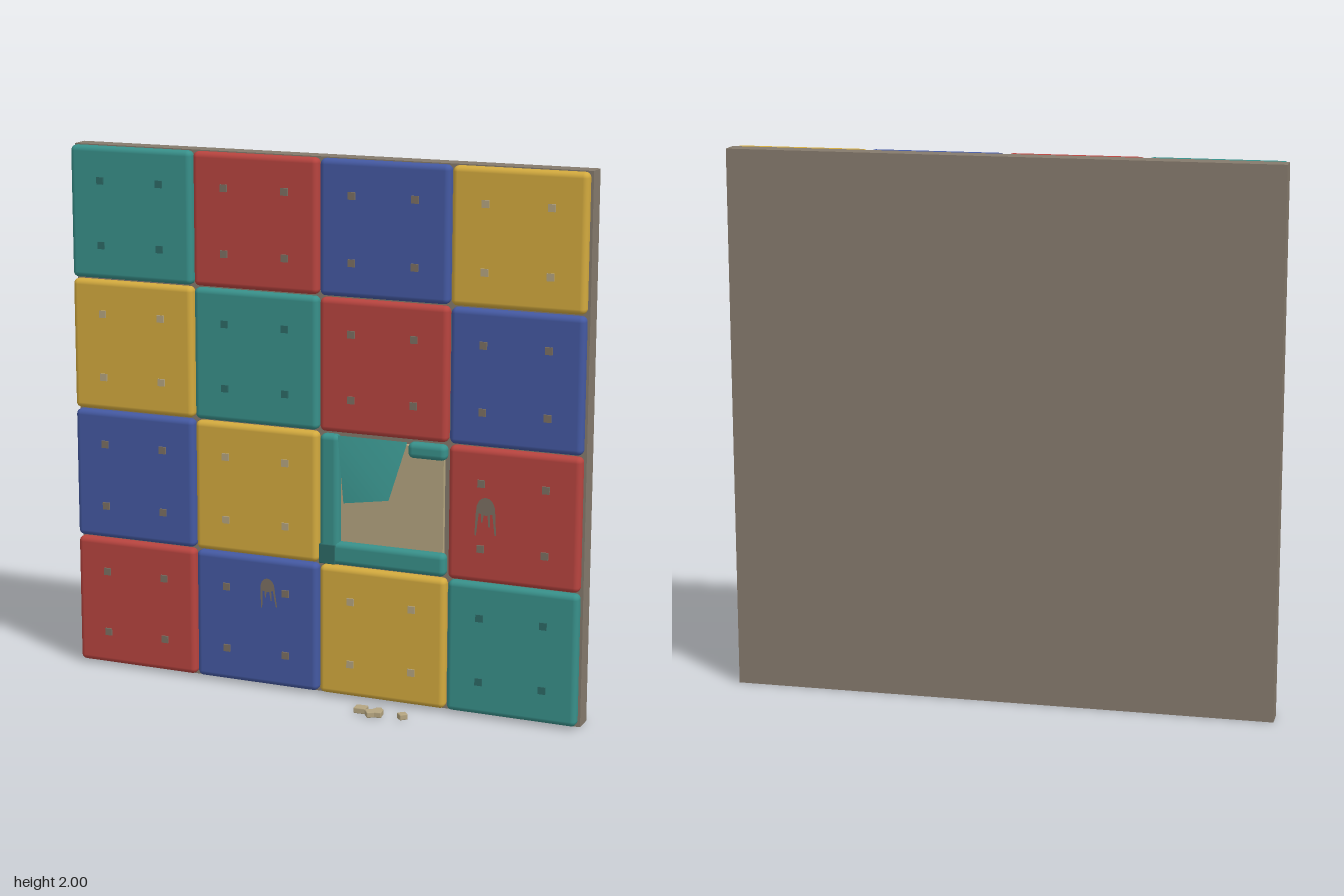
import * as THREE from 'three';
import { RoundedBoxGeometry } from 'three/addons/geometries/RoundedBoxGeometry.js';

const mat = (name, color, side = THREE.FrontSide) => {
  const m = new THREE.MeshStandardMaterial({ color, side });
  m.name = name;
  return m;
};

export function createModel() {
  const root = new THREE.Group();
  root.name = 'paddedWall';

  const teal = mat('teal vinyl', 0x38908a, THREE.DoubleSide);
  const red = mat('red vinyl', 0xb8443f);
  const blue = mat('blue vinyl', 0x4459a2);
  const yellow = mat('yellow vinyl', 0xd3aa3e);
  const backing = mat('backing board', 0x857a6c);
  const foam = mat('foam', 0xb5a580);
  const darkTeal = mat('dark teal', 0x2c6a66);
  const grime = mat('grime', 0x7b6f62, THREE.DoubleSide);

  const add = (name, geometry, material, x, y, z, parent = root) => {
    const mesh = new THREE.Mesh(geometry, material);
    mesh.name = name;
    mesh.position.set(x, y, z);
    parent.add(mesh);
    return mesh;
  };
  const pad = (w, h, r = 0.02) => new RoundedBoxGeometry(w, h, 0.05, 3, r);

  // Backing board
  add('backingBoard', new THREE.BoxGeometry(2, 2, 0.075), backing, 0, 1, -0.1095);

  // Four by four cushions, colours shifting one column per row
  const colours = [teal, red, blue, yellow];
  const studColours = [darkTeal, grime, grime, foam];
  const tile = pad(0.492, 0.492);
  const stud = new THREE.BoxGeometry(0.027, 0.027, 0.012);
  for (let row = 0; row < 4; row++) {
    for (let col = 0; col < 4; col++) {
      if (row === 2 && col === 2) continue; // torn cushion
      const k = (col - row + 4) % 4;
      const cushion = new THREE.Group();
      cushion.name = 'cushion';
      cushion.position.set(-0.75 + col * 0.5, 1.753 - row * 0.4985, -0.046);
      add('pad', tile, colours[k], 0, 0, 0, cushion);
      for (const sx of [-1, 1])
        for (const sy of [-1, 1])
          add('stud', stud, studColours[k], sx * 0.12, sy * 0.12, 0.025, cushion);
      root.add(cushion);
    }
  }

  // Torn cushion: exposed foam with remaining vinyl edges
  const torn = new THREE.Group();
  torn.name = 'tornCushion';
  root.add(torn);
  add('exposedFoam', new THREE.BoxGeometry(0.44, 0.46, 0.02), foam, 0.255, 0.75, -0.064, torn);
  add('leftEdge', pad(0.074, 0.49), teal, 0.041, 0.753, -0.046, torn);
  add('bottomEdge', pad(0.488, 0.085), teal, 0.248, 0.553, -0.046, torn);
  add('topEdge', pad(0.146, 0.058), teal, 0.419, 0.969, -0.046, torn);
  add('cornerPatch', new RoundedBoxGeometry(0.064, 0.074, 0.008, 2, 0.003), darkTeal, 0.037, 0.55, -0.021, torn);

  // Hanging flap, twisted outward at the bottom
  const flap = new THREE.BufferGeometry();
  flap.setAttribute('position', new THREE.Float32BufferAttribute([
    0.075, 0.998, -0.028, 0.125, 0.765, 0.037, 0.31, 0.8, 0.063, 0.345, 0.998, -0.028,
  ], 3));
  flap.setIndex([0, 1, 2, 0, 2, 3]);
  flap.computeVertexNormals();
  add('tornFlap', flap, teal, 0, 0, 0, torn);

  // Smudges with thin runs below a rounded blot
  const smudge = (x, y, s, lean) => {
    const group = new THREE.Group();
    group.name = 'smudge';
    group.position.set(x, y, -0.0185);
    const blot = new THREE.Shape();
    blot.moveTo(-0.036, -0.025);
    blot.bezierCurveTo(-0.04, 0.05, 0.04, 0.05, 0.036, -0.025);
    blot.lineTo(0, -0.035);
    add('blot', new THREE.ShapeGeometry(blot, 8), grime, 0, 0, 0, group);
    for (const [x0, x1, y1] of [[-0.03, -0.038, -0.11], [-0.01, -0.014, -0.06], [0.012, 0.014, -0.075], [0.03, 0.038, -0.105]]) {
      const run = new THREE.Shape();
      run.moveTo(x0 - 0.006, -0.015);
      run.lineTo(x1 - 0.003, y1);
      run.lineTo(x1 + 0.003, y1);
      run.lineTo(x0 + 0.006, -0.015);
      add('run', new THREE.ShapeGeometry(run), grime, 0, 0, 0.0004, group);
    }
    group.scale.set(s, s, 1);
    group.rotation.z = lean;
    root.add(group);
  };
  smudge(0.648, 0.795, 1, 0);
  smudge(-0.203, 0.403, 0.8, 0.08);

  // Foam crumbs on the floor: x, z, width, depth, turn
  for (const [x, z, w, d, turn] of [
    [0.217, 0.088, 0.046, 0.042, 0.05], [0.268, 0.114, 0.042, 0.04, 0.6],
    [0.287, 0.104, 0.04, 0.045, 0.15], [0.278, 0.066, 0.024, 0.022, 0.2],
    [0.383, 0.097, 0.032, 0.032, 0.75],
  ]) {
    const h = Math.min(0.022, w * 0.7);
    add('foamCrumb', new RoundedBoxGeometry(w, h, d, 1, 0.004), foam, x, h / 2, z).rotation.y = turn;
  }
  return root;
}
